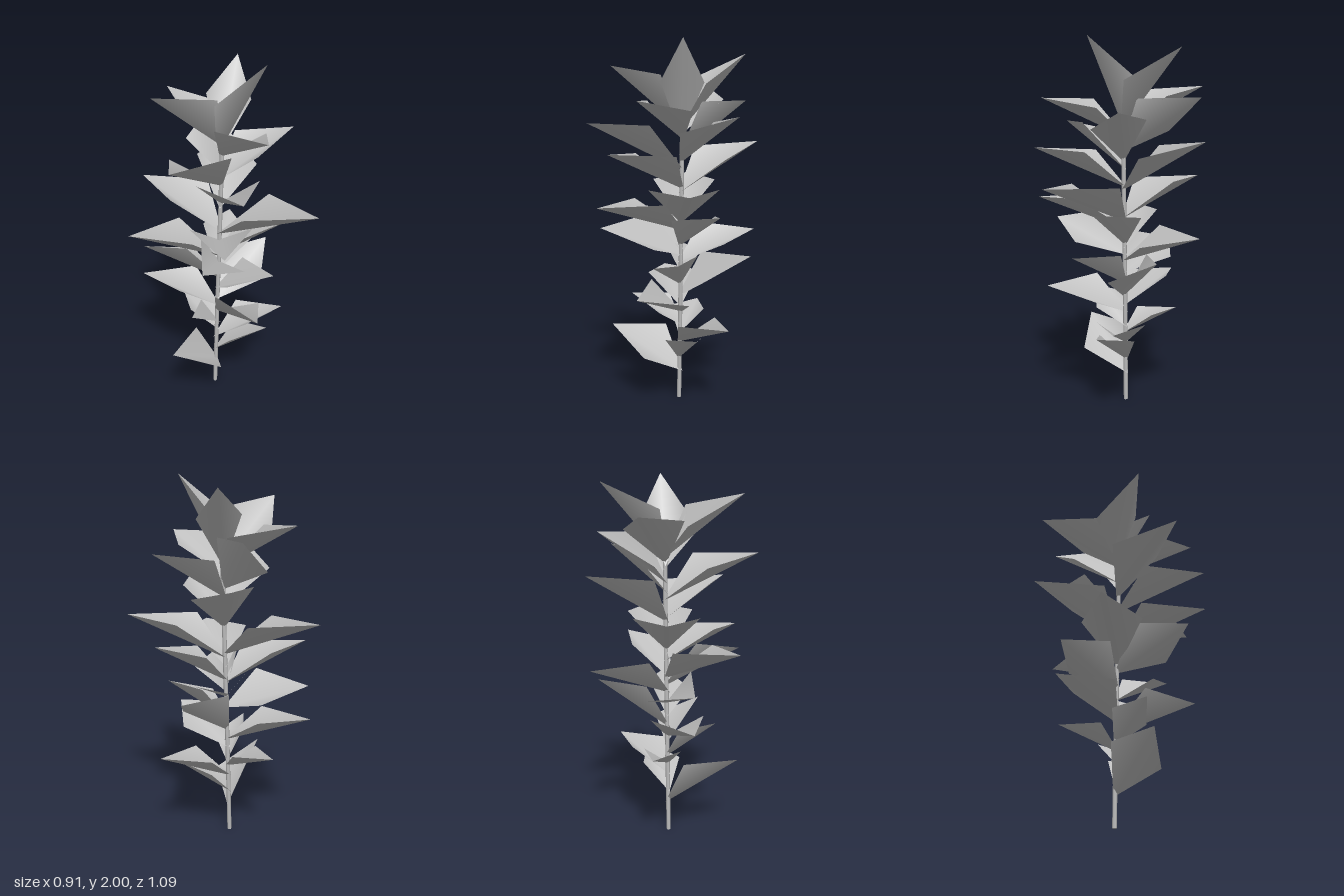
import * as THREE from 'three';

const grey = new THREE.MeshStandardMaterial({ color: 0xbfbfbf, side: THREE.DoubleSide });
grey.name = 'plant grey';

// Slightly leaning stem
const stemCurve = new THREE.CatmullRomCurve3([
  new THREE.Vector3(0.038, 0, -0.035),
  new THREE.Vector3(0.045, 0.55, -0.025),
  new THREE.Vector3(0.052, 1.1, -0.012),
  new THREE.Vector3(0.056, 1.56, -0.002),
]);

// Leaf foot: just past the stem, on the side away from the tip
function footAt(y, tip) {
  const foot = new THREE.Vector3(0.038 + 0.011 * y, y, -0.035 + 0.02 * y);
  const back = foot.clone().sub(tip).setY(0).normalize();
  return foot.addScaledVector(back, 0.018);
}

// Leaf: a kite folded along its midrib, side corners raised, rolled about the midrib
function leafGeometry(base, tip, roll, width) {
  const chord = tip.clone().sub(base);
  const length = chord.length();
  const along = chord.clone().normalize();
  const side0 = along.clone().cross(new THREE.Vector3(0, 1, 0)).normalize();
  const up0 = side0.clone().cross(along);
  const up = up0.clone().multiplyScalar(Math.cos(roll)).addScaledVector(side0, Math.sin(roll));
  const side = side0.clone().multiplyScalar(Math.cos(roll)).addScaledVector(up0, -Math.sin(roll));
  const corner = (sign) => base.clone()
    .addScaledVector(along, 0.47 * length)
    .addScaledVector(up, 0.19 * length)
    .addScaledVector(side, sign * 0.5 * width * length);
  const geometry = new THREE.BufferGeometry().setFromPoints([base, corner(1), tip, corner(-1)]);
  geometry.setIndex([0, 1, 2, 0, 2, 3]);
  geometry.computeVertexNormals();
  return geometry;
}

// Each leaf: height on stem, tip x, y, z, roll, optional width as a share of length
const lowerLeaves = [
  [0.16, -0.35, 0.42, -0.04, -0.55],
  [0.23, 0.17, 0.43, 0.24, 0],
  [0.33, 0.335, 0.495, 0.24, 0],
  [0.39, 0.11, 0.51, -0.33, 0],
  [0.43, -0.225, 0.62, 0, -0.4],
  [0.51, -0.13, 0.68, 0.37, -0.4],
  [0.55, -0.107, 0.69, -0.46, 0],
  [0.6, 0.438, 0.86, 0.046, 0.5],
  [0.67, 0.08, 0.86, 0.33, 0.3],
  [0.74, -0.11, 0.88, -0.44, 0.5],
];
const middleLeaves = [
  [0.8, 0.445, 0.965, -0.225, 0.3],
  [0.84, -0.36, 1.02, 0.18, -0.6],
  [0.88, -0.34, 1.075, -0.335, 0],
  [0.89, 0.287, 1.105, 0.29, 0],
  [0.98, -0.348, 1.145, 0.307, 0],
  [1.02, 0.16, 1.24, 0.54, 0],
  [1.04, 0.026, 1.255, -0.545, 0],
];
const upperLeaves = [
  [1.21, -0.275, 1.425, 0.365, 0],
  [1.19, 0.455, 1.465, -0.245, 0.2],
  [1.31, -0.455, 1.57, 0.06, 0.2],
  [1.35, 0.375, 1.61, 0.235, 0.2],
  [1.4, 0.385, 1.69, -0.27, -0.7],
  [1.48, -0.12, 1.69, 0.394, -0.2],
  [1.51, 0.165, 1.76, -0.46, 0.15],
  [1.53, -0.36, 1.88, -0.12, 0.5, 0.52],
  [1.52, 0.385, 1.94, -0.14, 0.15, 0.42],
  [1.5, 0.09, 2.0, 0.24, 0, 0.42],
];

export function createModel() {
  const plant = new THREE.Group();
  plant.name = 'leafy plant';

  const stem = new THREE.Mesh(new THREE.TubeGeometry(stemCurve, 12, 0.012, 6), grey);
  stem.name = 'stem';
  plant.add(stem);

  // Flat ends of the stem
  for (const [name, t, turn] of [['stemFoot', 0, Math.PI / 2], ['stemTop', 1, -Math.PI / 2]]) {
    const cap = new THREE.Mesh(new THREE.CircleGeometry(0.012, 6), grey);
    cap.name = name;
    cap.position.copy(stemCurve.getPoint(t));
    cap.rotation.x = turn;
    plant.add(cap);
  }

  // Whorls of leaves up the stem
  for (const [name, list] of Object.entries({ lowerLeaves, middleLeaves, upperLeaves })) {
    const whorl = new THREE.Group();
    whorl.name = name;
    for (const [height, x, y, z, roll, width = 0.6] of list) {
      const tip = new THREE.Vector3(x, y, z);
      const leaf = new THREE.Mesh(leafGeometry(footAt(height, tip), tip, roll, width), grey);
      leaf.name = 'leaf';
      whorl.add(leaf);
    }
    plant.add(whorl);
  }
  return plant;
}
